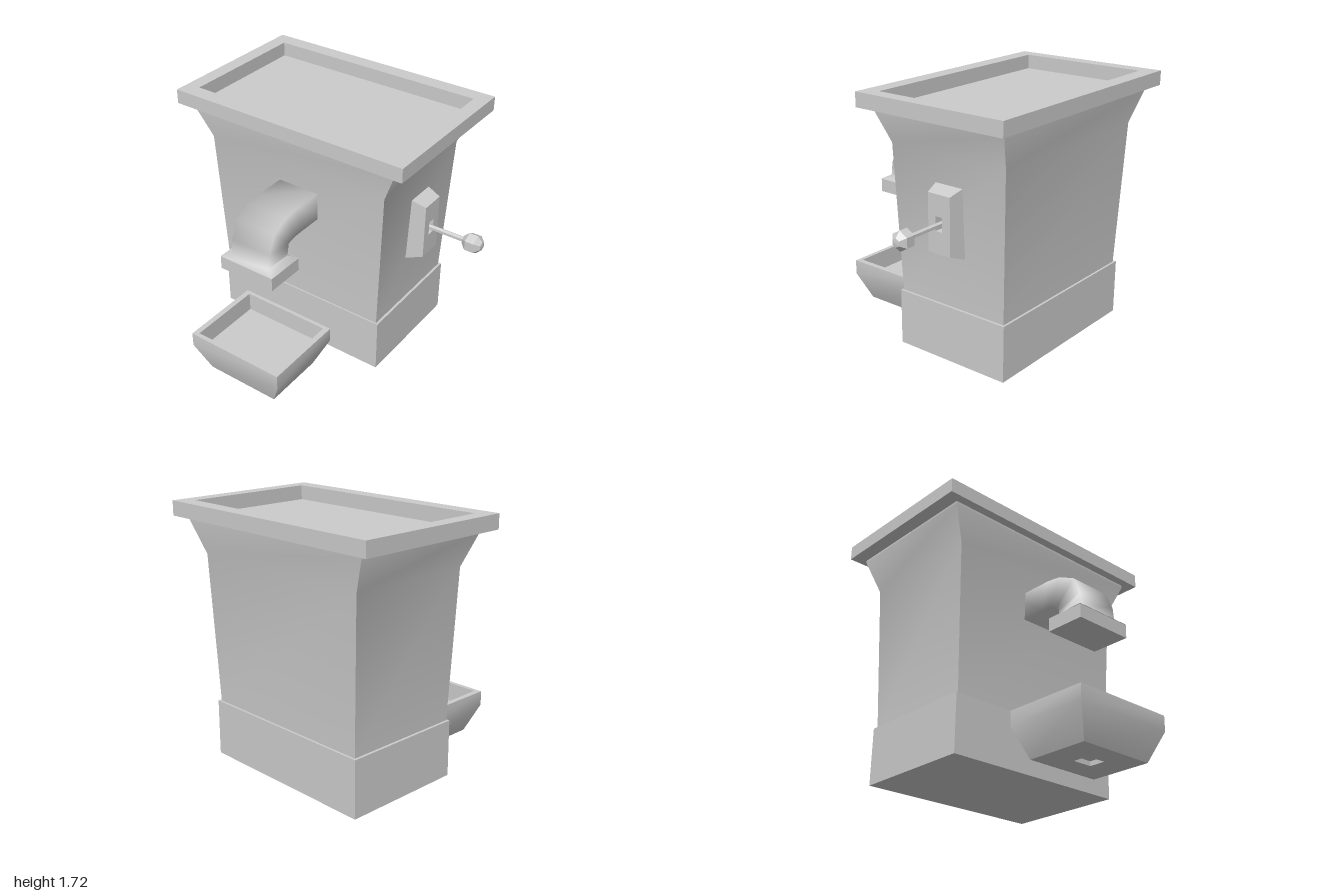
import * as THREE from 'three';
import { toCreasedNormals } from 'three/addons/utils/BufferGeometryUtils.js';

const material = new THREE.MeshStandardMaterial({ color: 0xcccccc, side: THREE.DoubleSide });

// Skins a run of four-cornered rings (counter-clockwise seen from the far end), closing both ends.
// Edges bent by more than the crease angle stay sharp.
function loft(name, rings, crease = 0.8) {
  const pos = [];
  const quad = (a, b, c, d) => pos.push(...a, ...b, ...c, ...a, ...c, ...d);
  for (let i = 0; i < rings.length - 1; i++) {
    for (let j = 0; j < 4; j++) {
      const k = (j + 1) % 4;
      quad(rings[i][j], rings[i][k], rings[i + 1][k], rings[i + 1][j]);
    }
  }
  const [a, b, c, d] = rings[0];
  quad(d, c, b, a);
  quad(...rings[rings.length - 1]);
  const geometry = new THREE.BufferGeometry();
  geometry.setAttribute('position', new THREE.Float32BufferAttribute(pos, 3));
  const mesh = new THREE.Mesh(toCreasedNormals(geometry, crease), material);
  mesh.name = name;
  return mesh;
}

// Horizontal rectangle at height y
const level = (y, x0, x1, z0, z1) => [[x0, y, z1], [x1, y, z1], [x1, y, z0], [x0, y, z0]];

// Upright rectangle facing +x
const facing = (x, y0, y1, z0, z1) => [[x, y0, z1], [x, y0, z0], [x, y1, z0], [x, y1, z1]];

export function createModel() {
  const model = new THREE.Group();

  // Plinth and flared body
  model.add(loft('plinth', [level(0, -0.79, 0.51, -0.71, 0.13), level(0.38, -0.79, 0.51, -0.71, 0.13)]));
  model.add(loft('body', [
    level(0.38, -0.772, 0.493, -0.695, 0.12),
    level(1.38, -0.815, 0.536, -0.728, 0.15),
    level(1.6, -0.91, 0.633, -0.785, 0.208),
    level(1.618, -0.91, 0.633, -0.785, 0.208),
  ]));

  // Slab on top with a sunken tray
  model.add(loft('topTray', [
    level(1.618, -1, 0.721, -0.845, 0.267),
    level(1.715, -1, 0.721, -0.845, 0.267),
    level(1.715, -0.902, 0.625, -0.738, 0.16),
    level(1.605, -0.902, 0.625, -0.738, 0.16),
  ]));

  // Spout neck: inner z, y, outer z, y and half width of each section, soft all round
  const cx = -0.115;
  const sections = [
    [0.08, 1.04, 0.08, 1.235, 0.148],
    [0.3, 1.04, 0.36, 1.235, 0.148],
    [0.37, 1.039, 0.46, 1.222, 0.148],
    [0.445, 1.024, 0.583, 1.163, 0.148],
    [0.452, 0.99, 0.638, 1.043, 0.148],
    [0.46, 0.942, 0.65, 0.946, 0.148],
    [0.422, 0.918, 0.693, 0.923, 0.205],
  ];
  model.add(loft('spoutNeck', sections.map(([zi, yi, zo, yo, w]) =>
    [[cx - w, yi, zi], [cx + w, yi, zi], [cx + w, yo, zo], [cx - w, yo, zo]]), 1.65));

  // Square collar at the end of the spout
  model.add(loft('spoutCollar', [
    level(0.829, cx - 0.205, cx + 0.205, 0.422, 0.693),
    level(0.92, cx - 0.205, cx + 0.205, 0.422, 0.693),
  ]));

  // Trough with a hollow and a small drain recess underneath
  model.add(loft('trough', [
    level(0.03, -0.203, -0.066, 0.505, 0.615),
    level(0, -0.203, -0.066, 0.505, 0.615),
    level(0, -0.4, 0.135, 0.345, 0.775),
    level(0.2, -0.49, 0.227, 0.27, 0.845),
    level(0.302, -0.49, 0.227, 0.27, 0.845),
    level(0.302, -0.452, 0.188, 0.295, 0.815),
    level(0.165, -0.452, 0.188, 0.295, 0.815),
  ]));

  // Bevelled plate with a slot for the lever
  model.add(loft('leverPlate', [
    facing(0.49, 0.73, 1.205, -0.412, -0.188),
    facing(0.623, 0.78, 1.16, -0.387, -0.217),
    facing(0.623, 0.925, 1.02, -0.327, -0.275),
    facing(0.56, 0.925, 1.02, -0.327, -0.275),
  ]));

  // Lever: six-sided rod and faceted knob
  const lever = new THREE.Group();
  lever.name = 'lever';
  lever.position.set(0.93, 0.97, -0.3);
  lever.rotation.z = -Math.PI / 2;
  const rodGeometry = new THREE.CylinderGeometry(0.018, 0.018, 0.4, 6);
  const rod = new THREE.Mesh(toCreasedNormals(rodGeometry, 0.2), material);
  rod.name = 'leverRod';
  rod.position.y = -0.22;
  const profile = [[0, -0.068], [0.03, -0.065], [0.065, -0.03], [0.065, 0.03], [0.03, 0.065], [0, 0.07]];
  const knobGeometry = new THREE.LatheGeometry(profile.map(p => new THREE.Vector2(...p)), 6);
  const knob = new THREE.Mesh(toCreasedNormals(knobGeometry, 0.2), material);
  knob.name = 'leverKnob';
  // Turn so the corners point up and down
  rod.rotation.y = knob.rotation.y = Math.PI / 6;
  lever.add(rod, knob);
  model.add(lever);

  return model;
}
